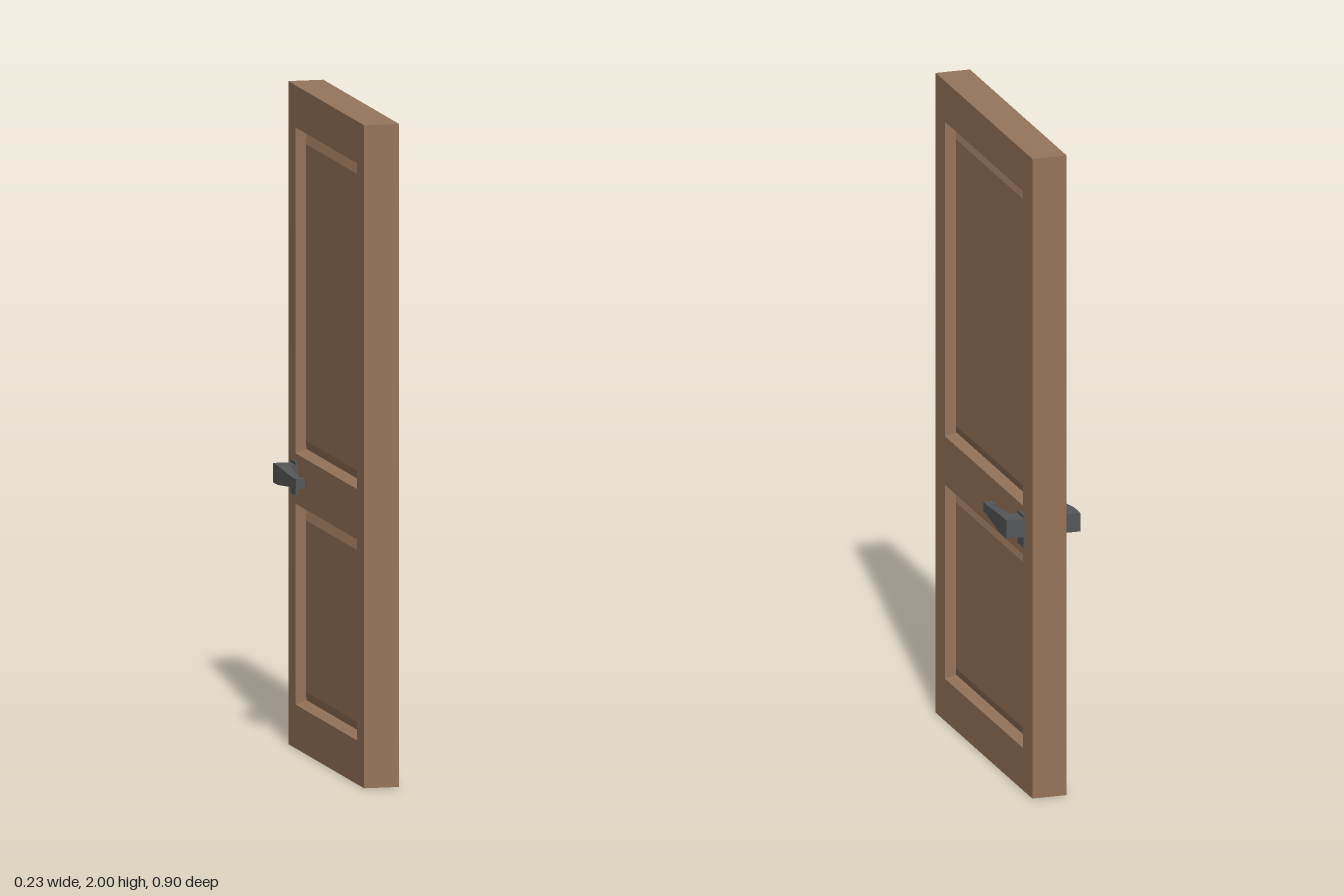
import * as THREE from 'three';

const wood = new THREE.MeshStandardMaterial({ color: 0x96745a });
wood.name = 'wood';
const metal = new THREE.MeshStandardMaterial({ color: 0x555657 });
metal.name = 'dark metal';

const HALF = 0.054; // half the door thickness

function add(group, name, geometry, material) {
  const mesh = new THREE.Mesh(geometry, material);
  mesh.name = name;
  group.add(mesh);
  return mesh;
}

// Joins four-cornered rings with flat quads, closing the last ring and optionally the first
function skin(rings, capStart) {
  const pos = [];
  const quad = (a, b, c, d) => [a, b, c, a, c, d].forEach((p) => pos.push(...p));
  for (let k = 0; k + 1 < rings.length; k++) {
    const a = rings[k], b = rings[k + 1];
    for (let i = 0; i < 4; i++) {
      const j = (i + 1) % 4;
      quad(a[i], a[j], b[j], b[i]);
    }
  }
  quad(...rings[rings.length - 1]);
  if (capStart) quad(...[...rings[0]].reverse());
  const geometry = new THREE.BufferGeometry();
  geometry.setAttribute('position', new THREE.Float32BufferAttribute(pos, 3));
  geometry.computeVertexNormals();
  return geometry;
}

function box(x0, x1, y0, y1, z0, z1) {
  return new THREE.BoxGeometry(Math.abs(x1 - x0), y1 - y0, z1 - z0)
    .translate((x0 + x1) / 2, (y0 + y1) / 2, (z0 + z1) / 2);
}

function rectangle(target, w, y0, y1) {
  target.moveTo(-w, y0);
  target.lineTo(w, y0);
  target.lineTo(w, y1);
  target.lineTo(-w, y1);
  target.closePath();
  return target;
}

// Sunken moulding around a slightly raised field, facing +x
function panelGeometry(w, y0, y1) {
  const steps = [[0, 0], [0.014, 0.03], [0.044, 0.02]]; // inset, depth
  return skin(steps.map(([inset, depth]) => {
    const x = HALF - depth, z = w - inset, lo = y0 + inset, hi = y1 - inset;
    return [[x, lo, z], [x, lo, -z], [x, hi, -z], [x, hi, z]];
  }), false);
}

function makeHandle(side) {
  const handle = new THREE.Group();
  handle.name = side > 0 ? 'leftHandle' : 'rightHandle';
  add(handle, 'backPlate', box(side * HALF, side * 0.062, 0.767, 0.869, -0.393, -0.335), metal);
  add(handle, 'handleBlock', box(side * 0.062, side * 0.1165, 0.801, 0.859, -0.393, -0.335), metal);
  // Tapering lever with a small inward hook: z, inner x, outer x, half height
  const sections = [
    [-0.335, 0.081, 0.1165, 0.029],
    [-0.189, 0.088, 0.109, 0.015],
    [-0.183, 0.076, 0.1087, 0.015],
    [-0.158, 0.076, 0.1075, 0.015],
    [-0.154, 0.08, 0.107, 0.015],
  ];
  add(handle, 'lever', skin(sections.map(([z, inner, outer, h]) => {
    const x0 = Math.min(side * inner, side * outer);
    const x1 = Math.max(side * inner, side * outer);
    return [[x0, 0.83 - h, z], [x1, 0.83 - h, z], [x1, 0.83 + h, z], [x0, 0.83 + h, z]];
  }), true), metal);
  return handle;
}

export function createModel() {
  const door = new THREE.Group();
  door.name = 'door';

  // Frame with two panel openings
  const openings = [['upperPanel', 0.363, 0.89, 1.873], ['lowerPanel', 0.363, 0.132, 0.738]];
  const shape = rectangle(new THREE.Shape(), 0.45, 0, 2);
  openings.forEach(([, w, y0, y1]) => shape.holes.push(rectangle(new THREE.Path(), w, y0, y1)));
  const frame = new THREE.ExtrudeGeometry(shape, { depth: 2 * HALF, bevelEnabled: false });
  frame.translate(0, 0, -HALF).rotateY(Math.PI / 2);
  add(door, 'doorFrame', frame, wood);

  // Panels on both faces
  for (const [name, w, y0, y1] of openings) {
    add(door, name + 'Left', panelGeometry(w, y0, y1), wood);
    add(door, name + 'Right', panelGeometry(w, y0, y1).rotateY(Math.PI), wood);
  }

  // Lever handles on both faces
  door.add(makeHandle(1), makeHandle(-1));
  return door;
}
